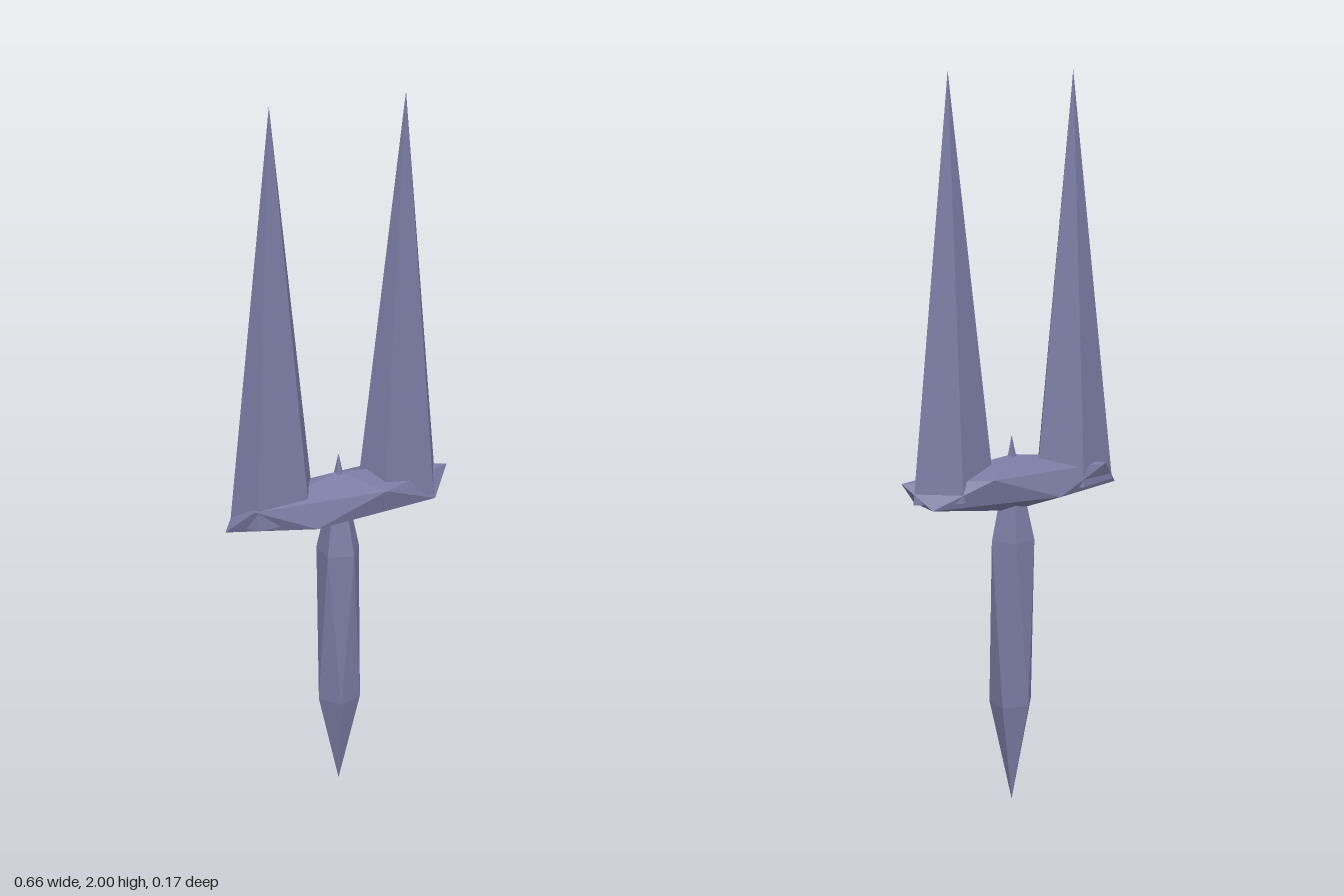
import * as THREE from 'three';
import { ConvexGeometry } from 'three/addons/geometries/ConvexGeometry.js';

// Faceted 20-sided solid standing on a point: two poles and two staggered pentagon rings
function facetedSolid(rx, ry, rz) {
  const points = [new THREE.Vector3(0, ry, 0), new THREE.Vector3(0, -ry, 0)];
  const h = 1 / Math.sqrt(5), r = 2 * h;
  for (let i = 0; i < 5; i++) {
    const a = (i * Math.PI * 2) / 5;
    const x = Math.cos(a) * r, z = Math.sin(a) * r;
    points.push(new THREE.Vector3(x * rx, h * ry, z * rz));
    points.push(new THREE.Vector3(-x * rx, -h * ry, z * rz));
  }
  return new ConvexGeometry(points);
}

export function createModel() {
  const group = new THREE.Group();
  group.name = 'twinBladeDagger';
  const steel = new THREE.MeshStandardMaterial({ color: 0x7a7aa2, flatShading: true });
  steel.name = 'blue grey steel';

  function add(name, geometry, x, y) {
    const mesh = new THREE.Mesh(geometry, steel);
    mesh.name = name;
    mesh.position.set(x, y, 0);
    group.add(mesh);
  }

  // Long grip whose top point pokes through the guard
  add('grip', facetedSolid(0.069, 0.521, 0.07), 0, 0.521);

  // Wide flat crossguard
  add('crossguard', facetedSolid(0.37, 0.078, 0.102), 0, 0.911);

  // Two five-sided spikes, flattened front to back, with one edge at the rear
  const base = 0.89, height = 2 - base;
  for (const side of [-1, 1]) {
    const spike = new THREE.ConeGeometry(1, height, 5);
    spike.rotateY(Math.PI);
    spike.scale(0.128, 1, 0.071);
    add(side > 0 ? 'leftBlade' : 'rightBlade', spike, side * 0.186, base + height / 2);
  }
  return group;
}
